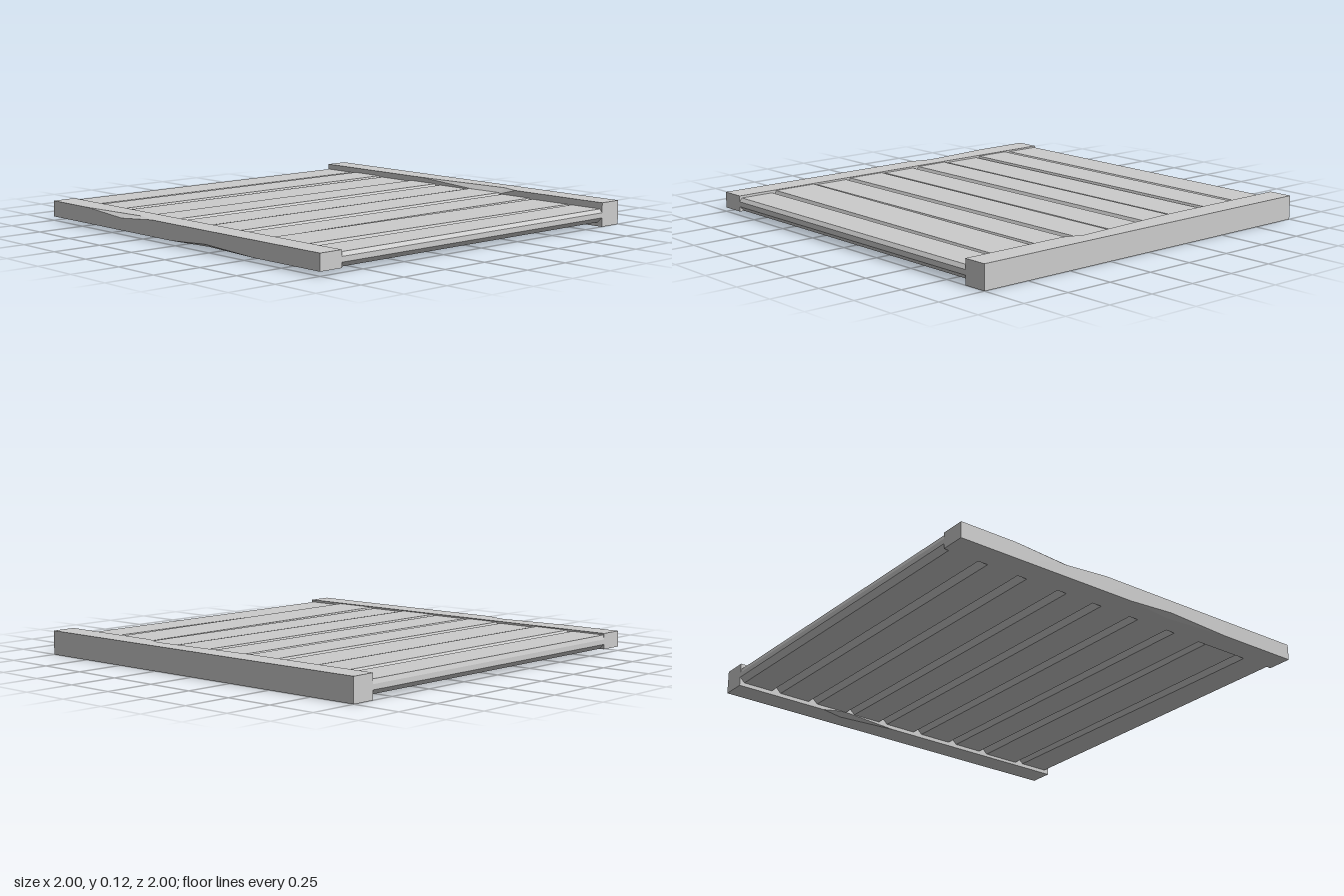
import * as THREE from 'three';

const material = new THREE.MeshStandardMaterial({ color: 0xcccccc, flatShading: true });

// Piecewise-linear value at x from [x, value] pairs, zero outside them
function sample(points, x) {
  for (let i = 1; i < points.length; i++) {
    const [x0, v0] = points[i - 1], [x1, v1] = points[i];
    if (x >= x0 && x <= x1) return v0 + (v1 - v0) * (x - x0) / (x1 - x0);
  }
  return 0;
}

// End rail lofted along x; chips cut into the upper and lower edges of its front face
function makeRail(name, z0, z1, y0, y1, chips) {
  const stations = new Set([-1, 1]);
  Object.values(chips).forEach(list => list.forEach(p => stations.add(p[0])));
  const xs = [...stations].sort((a, b) => a - b);
  const rings = xs.map(x => [
    [y0, z0],
    [y0, z1 - sample(chips.bottomDepth, x)],
    [y0 + sample(chips.bottomRise, x), z1],
    [y1 - sample(chips.topDrop, x), z1],
    [y1, z1 - sample(chips.topDepth, x)],
    [y1, z0],
  ].map(([y, z]) => [x, y, z]));
  const pos = [];
  const tri = (a, b, c) => pos.push(...a, ...b, ...c);
  for (let i = 0; i < rings.length - 1; i++) {
    for (let j = 0; j < 6; j++) {
      const k = (j + 1) % 6;
      const a = rings[i][j], b = rings[i + 1][j], c = rings[i + 1][k], d = rings[i][k];
      tri(a, b, c);
      tri(a, c, d);
    }
  }
  // end caps
  const first = rings[0], last = rings[rings.length - 1];
  for (let j = 1; j < 5; j++) {
    tri(first[0], first[j], first[j + 1]);
    tri(last[0], last[j + 1], last[j]);
  }
  const geometry = new THREE.BufferGeometry();
  geometry.setAttribute('position', new THREE.Float32BufferAttribute(pos, 3));
  geometry.computeVertexNormals();
  const mesh = new THREE.Mesh(geometry, material);
  mesh.name = name;
  return mesh;
}

// Plank with chamfered long edges: small above, wider below
function makePlank(left, topLeft, topRight, right, top) {
  const bottom = 0.02, bevel = 0.026;
  const shape = new THREE.Shape([
    [left + bevel, bottom], [right - bevel, bottom],
    [right, 0.045], [right, 0.07],
    [topRight, top], [topLeft, top],
    [left, 0.07], [left, 0.045],
  ].map(p => new THREE.Vector2(...p)));
  const geometry = new THREE.ExtrudeGeometry(shape, { depth: 1.76, bevelEnabled: false });
  geometry.translate(0, 0, -0.88);
  return new THREE.Mesh(geometry, material);
}

export function createModel() {
  const model = new THREE.Group();
  model.name = 'plankPanel';

  // Seams between planks: left lip, meeting line, right lip
  const seams = [
    [-1, -1, -0.994], [-0.805, -0.788, -0.772], [-0.58, -0.568, -0.557],
    [-0.35, -0.338, -0.327], [-0.145, -0.13, -0.107], [0.085, 0.095, 0.106],
    [0.313, 0.327, 0.34], [0.527, 0.537, 0.547], [0.78, 0.79, 0.806], [0.986, 1, 1],
  ];
  const tops = [0.092, 0.095, 0.09, 0.095, 0.092, 0.096, 0.091, 0.092, 0.088];
  const planks = new THREE.Group();
  planks.name = 'planks';
  for (let i = 0; i < tops.length; i++) {
    const a = seams[i], b = seams[i + 1];
    const plank = makePlank(a[1], a[2], b[0], b[1], tops[i]);
    plank.name = 'plank' + (i + 1);
    planks.add(plank);
  }
  // one slightly warped plank dips towards the back
  planks.children[7].rotation.x = -0.005;
  model.add(planks);

  // Thin front rail
  model.add(makeRail('frontRail', 0.875, 1, 0.02, 0.1, {
    topDrop: [[-0.7, 0], [-0.42, 0.02], [-0.18, 0]],
    topDepth: [[-0.7, 0], [-0.3, 0.035], [-0.18, 0]],
    bottomRise: [[-0.03, 0], [0.22, 0.016], [0.57, 0]],
    bottomDepth: [[-0.03, 0], [0.22, 0.03], [0.57, 0]],
  }));

  // Thicker back rail
  model.add(makeRail('backRail', -1, -0.875, 0, 0.12, {
    topDrop: [[-0.25, 0], [0.3, 0.035], [0.43, 0]],
    topDepth: [[-0.25, 0], [0.33, 0.035], [0.43, 0]],
    bottomRise: [[-0.5, 0], [-0.38, 0.022], [-0.07, 0]],
    bottomDepth: [[-0.5, 0], [-0.38, 0.03], [-0.07, 0]],
  }));
  return model;
}
